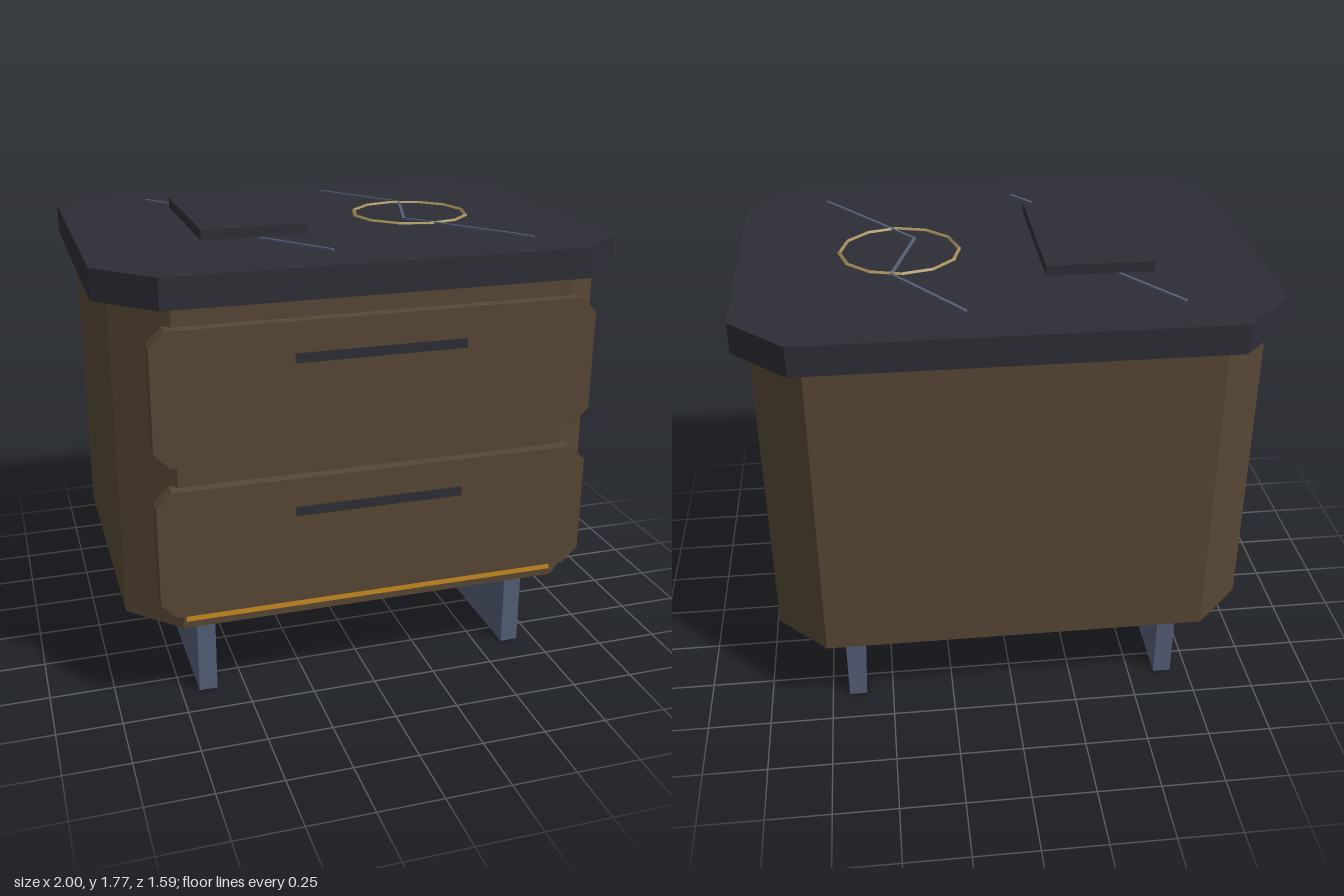
import * as THREE from 'three';

const mat = (name, color) => Object.assign(new THREE.MeshStandardMaterial({ color }), { name });

export function createModel() {
  const wood = mat('brown wood', 0x574735);
  const dark = mat('charcoal', 0x2d2d36);
  const steel = mat('slate steel', 0x545e76);
  const amber = mat('amber light', 0xc88a20);
  const brass = mat('brass', 0xa18a55);
  const model = new THREE.Group();
  model.name = 'nightstand';

  const add = (name, geometry, material, x = 0, y = 0, z = 0) => {
    const mesh = new THREE.Mesh(geometry, material);
    mesh.name = name;
    mesh.position.set(x, y, z);
    model.add(mesh);
    return mesh;
  };
  const box = (name, material, w, h, d, x, y, z) =>
    add(name, new THREE.BoxGeometry(w, h, d), material, x, y, z);

  // Rectangle with cut corners, extruded along +z
  const chamfered = (hw, hh, cx, cy, depth) => {
    const shape = new THREE.Shape([
      [hw, cy - hh], [hw, hh - cy], [hw - cx, hh], [cx - hw, hh],
      [-hw, hh - cy], [-hw, cy - hh], [cx - hw, -hh], [hw - cx, -hh],
    ].map(([x, y]) => new THREE.Vector2(x, y)));
    return new THREE.ExtrudeGeometry(shape, { depth, bevelEnabled: false });
  };

  // Cabinet and worktop, laid flat
  add('cabinet', chamfered(0.94, 0.737, 0.19, 0.19, 1.24).rotateX(-Math.PI / 2), wood, 0, 0.36, 0);
  add('top', chamfered(1, 0.795, 0.205, 0.205, 0.115).rotateX(-Math.PI / 2), dark, 0, 1.6, 0);

  // Drawers with slot handles
  for (const [label, y, handleY] of [['upper', 1.275, 1.39], ['lower', 0.682, 0.802]]) {
    add(label + 'Drawer', chamfered(0.838, 0.25, 0.06, 0.06, 0.07), wood, 0, y, 0.71);
    box(label + 'Handle', dark, 0.65, 0.036, 0.008, 0, handleY, 0.779);
  }
  box('lightStrip', amber, 1.48, 0.028, 0.009, 0, 0.402, 0.736);

  // Plank legs
  for (const side of [-1, 1])
    box(side > 0 ? 'leftLeg' : 'rightLeg', steel, 0.072, 0.36, 1.23, side * 0.645, 0.18, 0);

  // Raised pad
  box('pad', dark, 0.412, 0.04, 0.676, -0.355, 1.749, 0);

  // Zigzag inlay lines, the same on both halves
  const path = [[-0.21, -0.587], [0.04, -0.235], [-0.065, 0.115], [0.285, 0.578]];
  for (const cx of [-0.41, 0.38]) {
    for (let i = 0; i < 3; i++) {
      const [x0, z0] = path[i], [x1, z1] = path[i + 1];
      const line = box('inlayLine', steel, 0.012, 0.008, Math.hypot(x1 - x0, z1 - z0),
        cx + (x0 + x1) / 2, 1.718, (z0 + z1) / 2);
      line.rotation.y = Math.atan2(x1 - x0, z1 - z0);
    }
  }

  // Twelve-sided brass ring
  const ring = new THREE.TorusGeometry(0.234, 0.008, 4, 12).rotateX(-Math.PI / 2);
  brass.flatShading = true;
  add('ring', ring, brass, 0.38, 1.716, 0);

  return model;
}
